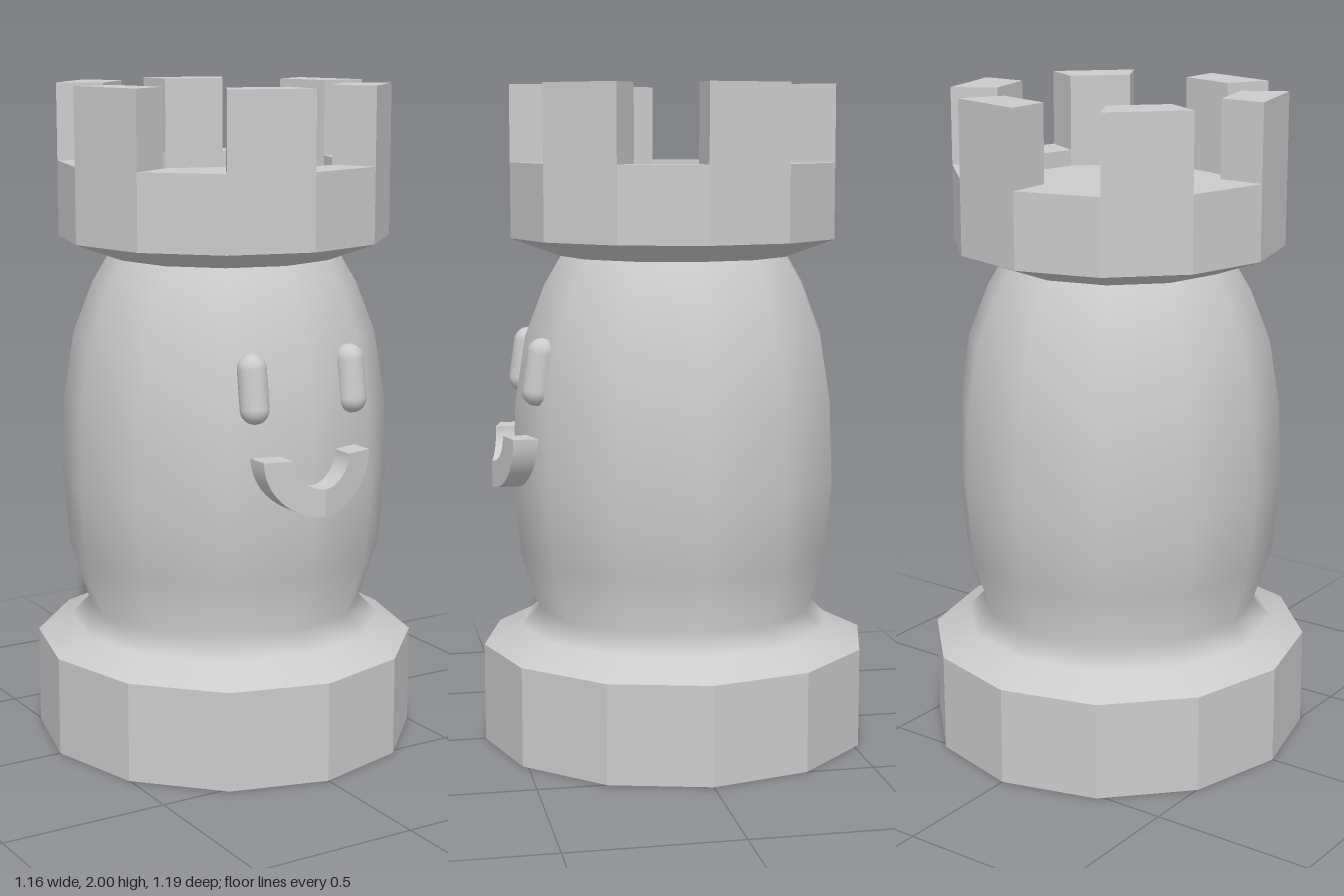
import * as THREE from 'three';
import { toCreasedNormals } from 'three/addons/utils/BufferGeometryUtils.js';

const SIDES = 12;
const smooth = new THREE.MeshStandardMaterial({ color: 0xcccccc });
const faceted = new THREE.MeshStandardMaterial({ color: 0xcccccc, flatShading: true });

const lathe = (profile) =>
  new THREE.LatheGeometry(profile.map(([r, y]) => new THREE.Vector2(r, y)), SIDES);

export function createModel() {
  const model = new THREE.Group();
  model.name = 'smilingRook';
  const add = (name, geometry, material, parent = model) => {
    const mesh = new THREE.Mesh(geometry, material);
    mesh.name = name;
    parent.add(mesh);
    return mesh;
  };

  // Faceted foot, slightly deeper than wide
  const foot = lathe([[0, 0], [0.58, 0], [0.58, 0.3]]);
  foot.scale(1, 1, 1.027);
  add('foot', foot, faceted);

  // Smooth barrel body with a flare that meets the foot
  const body = lathe([
    [0.58, 0.3], [0.48, 0.355], [0.425, 0.41], [0.48, 0.58], [0.5, 0.82],
    [0.492, 1.05], [0.46, 1.25], [0.4, 1.405], [0.35, 1.49], [0.32, 1.53],
  ]);
  const p = body.attributes.position;
  for (let i = 0; i < p.count; i++) {
    if (p.getY(i) < 0.32) p.setZ(i, p.getZ(i) * 1.027);
  }
  add('body', body, smooth);

  // Crown: sloped underside, outer wall, rim and sunken floor
  const crown = new THREE.Group();
  crown.name = 'crown';
  model.add(crown);
  add('crownWall', lathe([
    [0, 1.49], [0.35, 1.49], [0.5, 1.545], [0.5, 1.77],
    [0.36, 1.77], [0.36, 1.72], [0, 1.72],
  ]), faceted, crown);

  // Battlements on every second side of the rim
  const corner = (r, a) => new THREE.Vector2(r * Math.cos(a), r * Math.sin(a));
  const step = (Math.PI * 2) / SIDES;
  const block = new THREE.ExtrudeGeometry(new THREE.Shape([
    corner(0.36, 0), corner(0.5, 0), corner(0.5, step), corner(0.36, step),
  ]), { depth: 0.23, bevelEnabled: false });
  block.rotateX(-Math.PI / 2);
  for (let i = 0; i < SIDES; i += 2) {
    const merlon = add('battlement', block, faceted, crown);
    merlon.position.y = 1.77;
    merlon.rotation.y = i * step;
  }

  // Eyes: upright capsules leaning back with the body surface
  for (const side of [-1, 1]) {
    const eye = add(side > 0 ? 'leftEye' : 'rightEye',
      new THREE.CapsuleGeometry(0.043, 0.116, 6, 16), smooth);
    eye.position.set(side * 0.167, 1.16, 0.44);
    eye.rotation.x = -0.14;
  }

  // Smile: half ring bent around the front edge of the body
  const smile = new THREE.Shape();
  smile.absarc(0, 0, 0.18, Math.PI, Math.PI * 2, false);
  smile.absarc(0, 0, 0.095, Math.PI * 2, Math.PI, true);
  const mouth = new THREE.ExtrudeGeometry(smile, {
    depth: 0.105, bevelEnabled: false, curveSegments: 16,
  });
  const m = mouth.attributes.position;
  for (let i = 0; i < m.count; i++) {
    m.setZ(i, m.getZ(i) + 0.46 - 0.25 * Math.abs(m.getX(i)));
  }
  mouth.scale(1, 0.94, 1);
  mouth.translate(0, 0.962, 0);
  add('mouth', toCreasedNormals(mouth, 0.4), smooth);

  return model;
}
